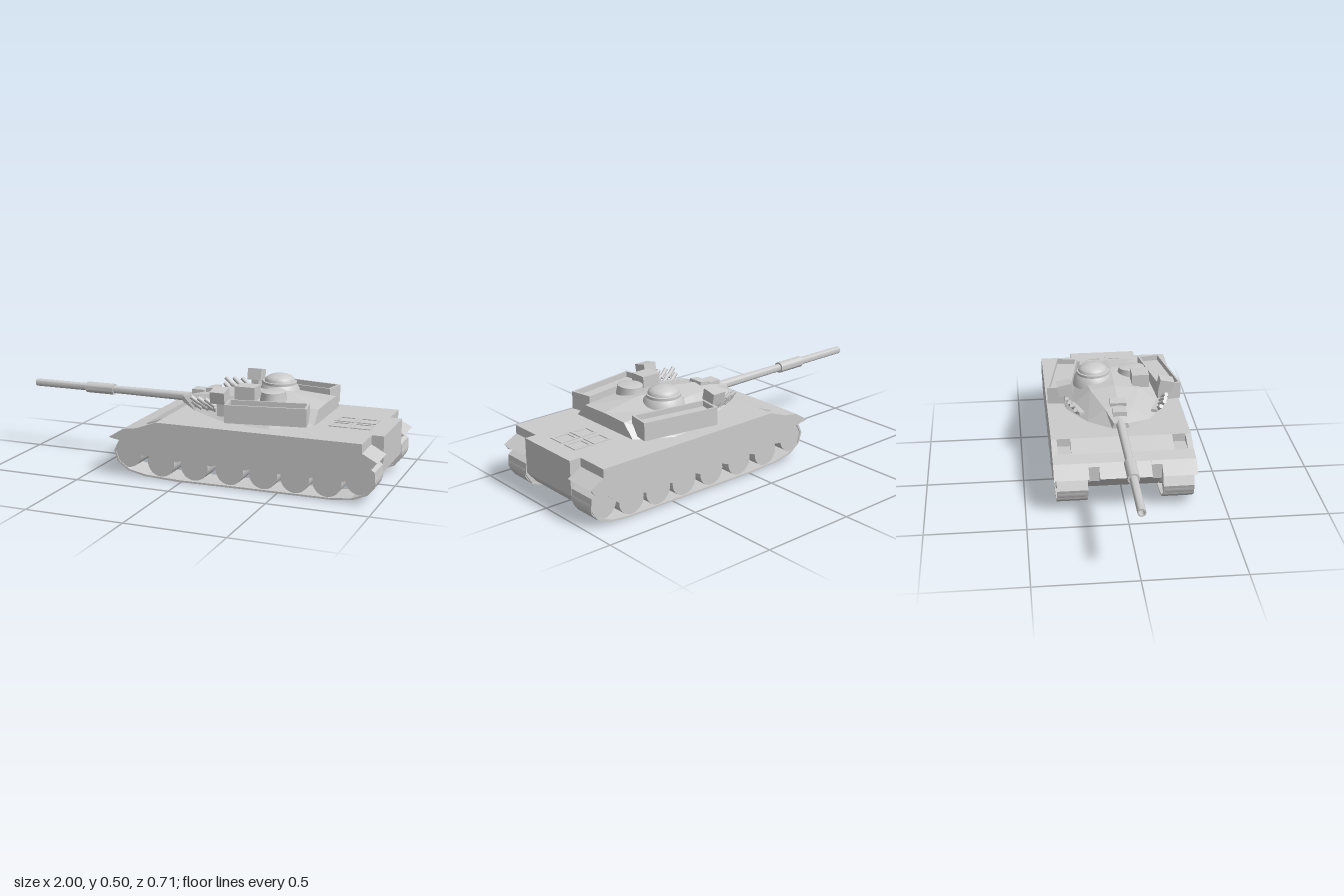
import * as THREE from 'three';
import { toCreasedNormals } from 'three/addons/utils/BufferGeometryUtils.js';

const flat = new THREE.MeshStandardMaterial({ color: 0xcccccc, flatShading: true });
const smooth = new THREE.MeshStandardMaterial({ color: 0xcccccc });

export function createModel() {
  const model = new THREE.Group();

  const add = (name, geo, x = 0, y = 0, z = 0, parent = model, mat = flat) => {
    const m = new THREE.Mesh(geo, mat);
    m.name = name;
    m.position.set(x, y, z);
    parent.add(m);
    return m;
  };
  const box = (w, h, d) => new THREE.BoxGeometry(w, h, d);
  const toShape = (pts) => new THREE.Shape(pts.map(([x, y]) => new THREE.Vector2(x, y)));
  // side profile extruded from z0 to z1
  const slab = (name, shape, z0, z1) =>
    add(name, new THREE.ExtrudeGeometry(shape, { depth: z1 - z0, bevelEnabled: false }), 0, 0, z0);
  const lathe = (pts, n = 32) => toCreasedNormals(
    new THREE.LatheGeometry(pts.map(([r, y]) => new THREE.Vector2(r, y)), n), 0.6);

  // central hull and the narrower strips beside the nose notches
  const hullRear = [[0.98, 0.3], [0.98, 0.12], [0.93, 0.06], [-0.2, 0.06]];
  slab('hull', toShape([[-0.39, 0.2], [-0.31, 0.25], [-0.23, 0.262], [-0.13, 0.3], ...hullRear]), -0.13, 0.13);
  const stripShape = toShape([[-0.33, 0.16], [-0.33, 0.238], [-0.31, 0.25], [-0.23, 0.262], [-0.13, 0.3], ...hullRear]);

  // fender profiles, plain and with a light recess
  const nose = [[-0.39, 0.2], [-0.31, 0.25], [-0.23, 0.262]];
  const tail = [[0.92, 0.3], [0.92, 0.255], [0.995, 0.215], [0.97, 0.197]];
  const fender = toShape([...nose, [-0.13, 0.3], ...tail]);
  const recessed = toShape([...nose, [-0.21, 0.262], [-0.13, 0.258], [-0.13, 0.3], ...tail]);

  // scalloped skirt
  const wheelX = [-0.11, 0.07, 0.255, 0.43, 0.59, 0.75];
  const lower = [[-0.27, 0.178], [-0.2, 0.12]];
  wheelX.forEach((x, i) => {
    lower.push([x - 0.03, 0.128], [x + 0.03, 0.128]);
    lower.push([(x + (wheelX[i + 1] ?? 0.92)) / 2, 0.106]);
  });
  lower.push([0.91, 0.168], [0.97, 0.185]);
  const skirt = toShape([[-0.39, 0.2], ...lower, [0.99, 0.212], [0.9, 0.24], [-0.3, 0.24]]);

  // track belt loop
  const belt = [[-0.29, 0.205], [-0.34, 0.185], [-0.367, 0.13], [-0.35, 0.075], [-0.29, 0.032], [-0.2, 0.012],
    [-0.02, 0.003], [0.3, 0.006], [0.78, 0.008], [0.88, 0.02], [0.95, 0.05], [0.985, 0.11], [0.98, 0.165], [0.92, 0.208]];
  const beltShape = toShape(belt);
  const cx = 0.31, cy = 0.106;
  beltShape.holes.push(new THREE.Path(belt.map(([x, y]) =>
    new THREE.Vector2(cx + (x - cx) * 0.985, cy + (y - cy) * 0.91))));

  for (const s of [-1, 1]) {
    const band = (name, shape, a, b) => slab(name, shape, Math.min(s * a, s * b), Math.max(s * a, s * b));
    band('hullStrip', stripShape, 0.13, 0.183);
    band('fenderInner', fender, 0.183, 0.26);
    band('fenderRecess', recessed, 0.26, 0.328);
    band('fenderOuter', fender, 0.328, 0.357);
    band('skirt', skirt, 0.347, 0.357);
    band('track', beltShape, 0.188, 0.343);
    // idler, road wheels, sprocket
    for (const [x, y, r] of [[-0.29, 0.122, 0.073], ...wheelX.map((w) => [w, 0.09, 0.072]), [0.912, 0.118, 0.073]])
      add('wheel', new THREE.CylinderGeometry(r, r, 0.14, 28).rotateX(Math.PI / 2), x, y, s * 0.268, model, smooth);
  }

  // engine deck grilles
  const frame = toShape([[-0.05, -0.045], [0.05, -0.045], [0.05, 0.045], [-0.05, 0.045]]);
  frame.holes.push(new THREE.Path([[-0.037, -0.032], [0.037, -0.032], [0.037, 0.032], [-0.037, 0.032]]
    .map(([x, y]) => new THREE.Vector2(x, y))));
  for (const x of [0.73, 0.84]) for (const z of [-0.055, 0.055])
    add('deckGrille', new THREE.ExtrudeGeometry(frame, { depth: 0.004, bevelEnabled: false })
      .rotateX(-Math.PI / 2), x, 0.3, z);

  // turret: sections along x as [x, bottom z, bottom y, roof z, roof y, ridge y]
  const turret = new THREE.Group();
  turret.name = 'turret';
  model.add(turret);
  const sections = [
    [-0.12, 0.045, 0.342, 0.035, 0.368, 0.375], [0, 0.16, 0.328, 0.07, 0.395, 0.405],
    [0.2, 0.255, 0.308, 0.13, 0.415, 0.435], [0.44, 0.29, 0.306, 0.165, 0.405, 0.43],
    [0.645, 0.22, 0.325, 0.155, 0.392, 0.396]];
  const pos = [], idx = [], N = 5;
  for (const [x, bz, by, tz, ty, ry] of sections)
    pos.push(x, by, bz, x, ty, tz, x, ry, 0, x, ty, -tz, x, by, -bz);
  for (let i = 0; i < sections.length - 1; i++)
    for (let j = 0; j < N; j++) {
      const a = i * N + j, b = i * N + (j + 1) % N;
      idx.push(a, a + N, b, b, a + N, b + N);
    }
  const last = (sections.length - 1) * N;
  for (let j = 1; j < N - 1; j++) idx.push(0, j, j + 1, last, last + j + 1, last + j);
  const body = new THREE.BufferGeometry();
  body.setAttribute('position', new THREE.Float32BufferAttribute(pos, 3));
  body.setIndex(idx);
  body.computeVertexNormals();
  add('turretBody', body, 0, 0, 0, turret);
  add('turretRing', new THREE.CylinderGeometry(0.2, 0.2, 0.035, 40), 0.29, 0.313, 0, turret, smooth);

  // gun: hollow barrel with a sleeve, and its mount
  add('gunBarrel', lathe([[0.013, 0.85], [0.013, 0.999], [0.02, 1], [0.02, 0.69], [0.029, 0.69], [0.029, 0.53],
    [0.02, 0.53], [0.024, 0.05]].reverse(), 24).rotateZ(Math.PI / 2), 0, 0.358, 0, turret,
    new THREE.MeshStandardMaterial({ color: 0xcccccc, side: THREE.DoubleSide }));
  add('mantlet', box(0.07, 0.06, 0.07), -0.035, 0.378, 0, turret);
  add('gunnerSight', box(0.055, 0.03, 0.085), 0.04, 0.408, 0, turret).rotation.z = 0.12;

  // commander cupola and loader hatch
  add('cupola', lathe([[0.108, 0.385], [0.1, 0.425], [0.086, 0.445], [0.086, 0.458], [0.078, 0.46], [0.074, 0.474],
    [0.062, 0.484], [0.042, 0.492], [0.02, 0.497], [0, 0.498]]), 0.36, 0, -0.103, turret, smooth);
  add('hatch', lathe([[0.084, 0.385], [0.07, 0.445], [0.07, 0.453], [0.06, 0.456], [0, 0.456]]),
    0.4, 0, 0.11, turret, smooth).scale.x = 0.85;
  add('roofSight', box(0.105, 0.07, 0.09), 0.275, 0.443, 0.14, turret);

  for (const s of [-1, 1]) {
    // open stowage bin along the turret side
    const bin = new THREE.Group();
    bin.name = 'stowageBin';
    bin.position.set(0.42, 0.378, s * 0.262);
    bin.rotation.y = s * 0.17;
    turret.add(bin);
    add('binBody', box(0.4, 0.06, 0.12), 0, -0.013, 0, bin);
    for (const k of [-1, 1]) {
      add('binSide', box(0.4, 0.09, 0.01), 0, 0, k * 0.055, bin);
      add('binEnd', box(0.012, 0.09, 0.12), k * 0.194, 0, 0, bin);
    }

    // side sight on a post
    const sight = add('sideSight', box(0.075, 0.06, 0.075), 0.175, 0.445, s * 0.265, turret);
    sight.rotation.x = s * 0.2;
    add('sightPost', box(0.04, 0.09, 0.04), 0.18, 0.385, s * 0.245, turret);

    // smoke launcher cluster
    add('launcherBracket', box(0.14, 0.015, 0.03), 0.085, 0.365, s * 0.21, turret).rotation.y = s * -0.35;
    for (let i = 0; i < 3; i++) for (let j = 0; j < 2; j++) {
      const tube = add('smokeTube', new THREE.CylinderGeometry(0.011, 0.011, 0.06, 10),
        0.035 + i * 0.042, 0.375 + j * 0.026, s * (0.215 + i * 0.01 + j * 0.018), turret, smooth);
      tube.rotation.set(s * 0.35, 0, 0.9);
    }
  }
  return model;
}
